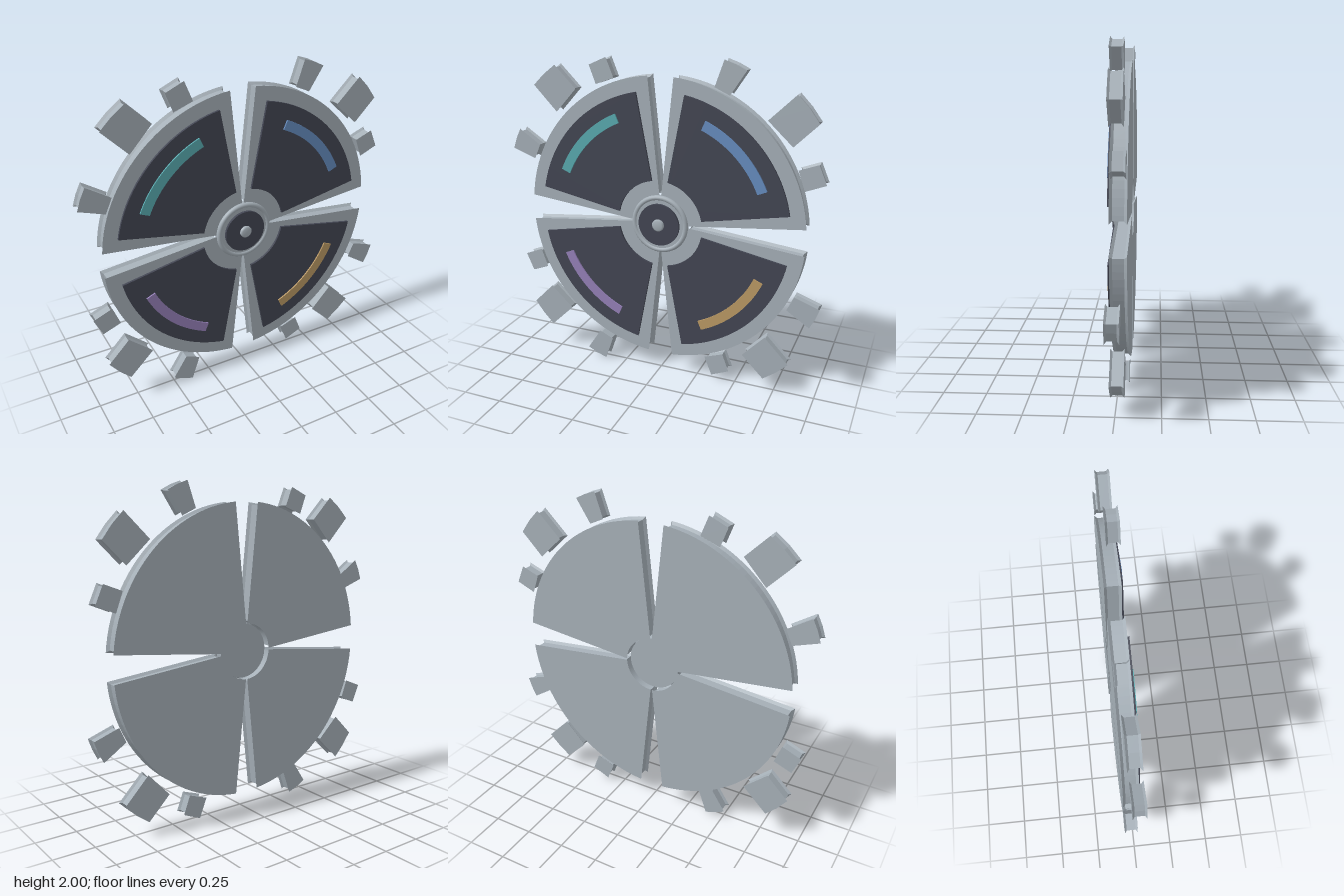
import * as THREE from 'three';

const mat = (name, color) => Object.assign(new THREE.MeshStandardMaterial({ color }), { name });

// Ring sector outline; the inner angle margin may differ from the outer one
function sector(r0, r1, margin0, margin1, steps = 28) {
  const pts = [];
  const arc = (r, from, to) => {
    for (let i = 0; i <= steps; i++) {
      const a = THREE.MathUtils.degToRad(from + (to - from) * i / steps);
      pts.push(new THREE.Vector2(r * Math.cos(a), r * Math.sin(a)));
    }
  };
  arc(r1, margin1, 90 - margin1);
  arc(r0, 90 - margin0, margin0);
  return new THREE.Shape(pts);
}

// Plate from z0 to z1; a groove makes the middle of its rim narrower than its faces
function plate(shape, z0, z1, groove = 0) {
  const geo = new THREE.ExtrudeGeometry(shape, {
    depth: z1 - z0 - 2 * groove,
    bevelEnabled: groove > 0,
    bevelSegments: 1,
    bevelSize: -groove,
    bevelThickness: groove,
    curveSegments: 24,
  });
  return geo.translate(0, 0, z0 + groove);
}

export function createModel() {
  const grey = mat('light grey', 0xa6b0b8);
  const dark = mat('dark slate', 0x434653);
  const accents = [
    mat('blue', 0x668dc0), mat('teal', 0x59abb0),
    mat('purple', 0x9681b9), mat('orange', 0xbb9964),
  ];

  const model = new THREE.Group();
  model.name = 'segmentedDisc';
  const add = (parent, name, geo, material) => {
    const mesh = new THREE.Mesh(geo, material);
    mesh.name = name;
    parent.add(mesh);
    return mesh;
  };

  // Shared quadrant parts
  const bodyGeo = plate(sector(0.17, 0.89, 1.6, 5.2), -0.07, 0.02, 0.015);
  const panelGeo = plate(sector(0.272, 0.805, 10.9, 10.8), 0.02, 0.034);
  const stripGeo = plate(sector(0.655, 0.715, 23.3, 23.3), 0.034, 0.043);

  // Loose outer blocks: corners clockwise, with their depth range
  const blocks = [
    { name: 'forwardBlock', z: [-0.035, 0.042], p: [[0.385, 1.0], [0.451, 0.977], [0.513, 0.946], [0.422, 0.807], [0.332, 0.848]] },
    { name: 'largeBlock', z: [-0.05, 0.027], p: [[0.792, 0.834], [0.861, 0.763], [0.92, 0.684], [0.784, 0.547], [0.637, 0.683]] },
    { name: 'rearBlock', z: [-0.066, 0.012], p: [[0.818, 0.417], [0.93, 0.46], [0.979, 0.348], [0.861, 0.3]] },
  ].map(b => ({
    name: b.name,
    geo: plate(new THREE.Shape(b.p.map(([x, y]) => new THREE.Vector2(x, y))), b.z[0], b.z[1], 0.012),
  }));

  // Four quadrants, each a quarter turn on
  accents.forEach((accent, i) => {
    const quadrant = new THREE.Group();
    quadrant.name = `quadrant${i + 1}`;
    quadrant.rotation.z = i * Math.PI / 2;
    add(quadrant, 'sectorBody', bodyGeo, grey);
    add(quadrant, 'sectorPanel', panelGeo, dark);
    add(quadrant, 'accentStrip', stripGeo, accent);
    blocks.forEach(b => add(quadrant, b.name, b.geo, grey));
    model.add(quadrant);
  });

  // Central hub: stepped drum, rounded rim, dark cap and knob
  const turned = (name, points, material) => {
    const geo = new THREE.LatheGeometry(points.map(([r, z]) => new THREE.Vector2(r, z)), 48);
    return add(model, name, geo.rotateX(Math.PI / 2), material);
  };
  const drum = new THREE.CylinderGeometry(0.165, 0.165, 0.07, 48).rotateX(Math.PI / 2);
  add(model, 'hubDrum', drum, grey);
  const rim = new THREE.TorusGeometry(0.166, 0.016, 12, 48).translate(0, 0, 0.026);
  add(model, 'hubRim', rim, grey);
  const cap = new THREE.CylinderGeometry(0.131, 0.131, 0.018, 48).rotateX(Math.PI / 2).translate(0, 0, 0.042);
  add(model, 'hubCap', cap, dark);
  turned('hubKnob', [[0.037, 0.045], [0.037, 0.062], [0.028, 0.07], [0, 0.07]], grey);

  // Stand the disc on the ground
  model.children.forEach(part => { part.position.y = 1; });
  return model;
}
